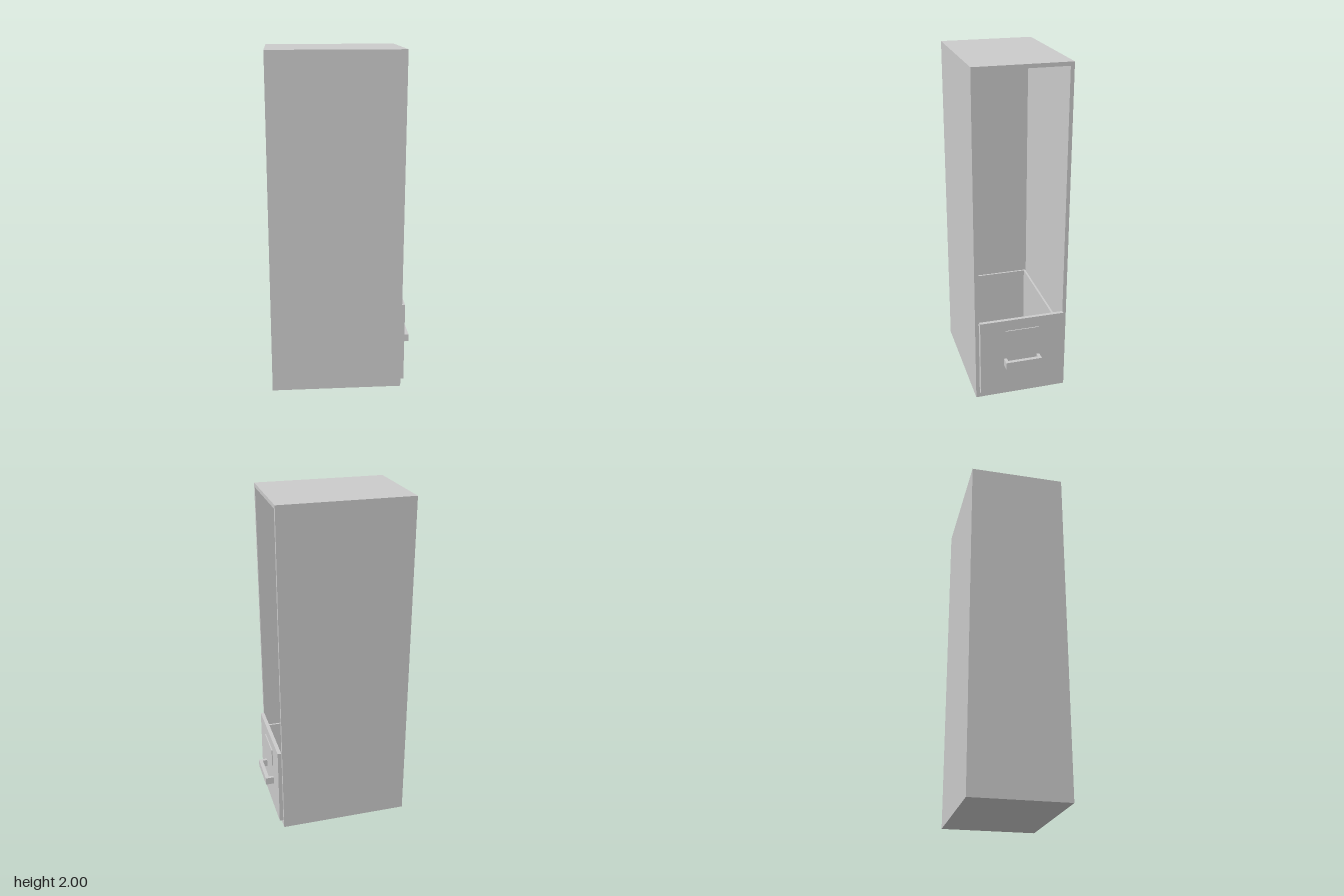
import * as THREE from 'three';

const material = new THREE.MeshStandardMaterial({ color: 0xcccccc });

// Box given by its minimum and maximum corners
function slab(parent, name, [x0, y0, z0], [x1, y1, z1]) {
  const mesh = new THREE.Mesh(new THREE.BoxGeometry(x1 - x0, y1 - y0, z1 - z0), material);
  mesh.name = name;
  mesh.position.set((x0 + x1) / 2, (y0 + y1) / 2, (z0 + z1) / 2);
  parent.add(mesh);
  return mesh;
}

// Hollow cabinet, open toward +x
function createCabinet() {
  const back = -0.422, front = 0.35, half = 0.278, wall = 0.022, height = 2;
  const shape = new THREE.Shape([
    new THREE.Vector2(-half, 0), new THREE.Vector2(half, 0),
    new THREE.Vector2(half, height), new THREE.Vector2(-half, height),
  ]);
  const w = half - wall;
  shape.holes.push(new THREE.Path([
    new THREE.Vector2(-w, 0.03), new THREE.Vector2(-w, height - wall),
    new THREE.Vector2(w, height - wall), new THREE.Vector2(w, 0.03),
  ]));
  const geometry = new THREE.ExtrudeGeometry(shape, { depth: front - back, bevelEnabled: false });
  geometry.rotateY(Math.PI / 2).translate(back, 0, 0);

  const cabinet = new THREE.Group();
  cabinet.name = 'cabinet';
  const shell = new THREE.Mesh(geometry, material);
  shell.name = 'cabinetShell';
  cabinet.add(shell);
  slab(cabinet, 'cabinetBack', [back, 0.03, -w], [back + wall, height - wall, w]);
  return cabinet;
}

// Open-topped drawer with front panel, label plate and handle
function createDrawer() {
  const drawer = new THREE.Group();
  drawer.name = 'drawer';
  slab(drawer, 'drawerFront', [0.35, 0.036, -0.255], [0.372, 0.518, 0.253]);
  slab(drawer, 'drawerBottom', [-0.39, 0.04, -0.248], [0.35, 0.055, 0.248]);
  slab(drawer, 'drawerBack', [-0.39, 0.055, -0.236], [-0.378, 0.43, 0.236]);
  for (const s of [-1, 1]) {
    const side = slab(drawer, 'drawerSide', [-0.39, 0.055, 0.236], [0.35, 0.43, 0.248]);
    side.position.z *= s;
  }
  slab(drawer, 'labelPlate', [0.372, 0.343, -0.102], [0.378, 0.45, 0.102]);

  const handle = new THREE.Group();
  handle.name = 'handle';
  slab(handle, 'handleBar', [0.4, 0.215, -0.11], [0.422, 0.26, 0.11]);
  for (const s of [-1, 1]) {
    const post = slab(handle, 'handlePost', [0.372, 0.215, 0.092], [0.4, 0.26, 0.11]);
    post.position.z *= s;
  }
  drawer.add(handle);
  return drawer;
}

export function createModel() {
  const model = new THREE.Group();
  model.name = 'filingCabinet';
  model.add(createCabinet(), createDrawer());
  return model;
}
